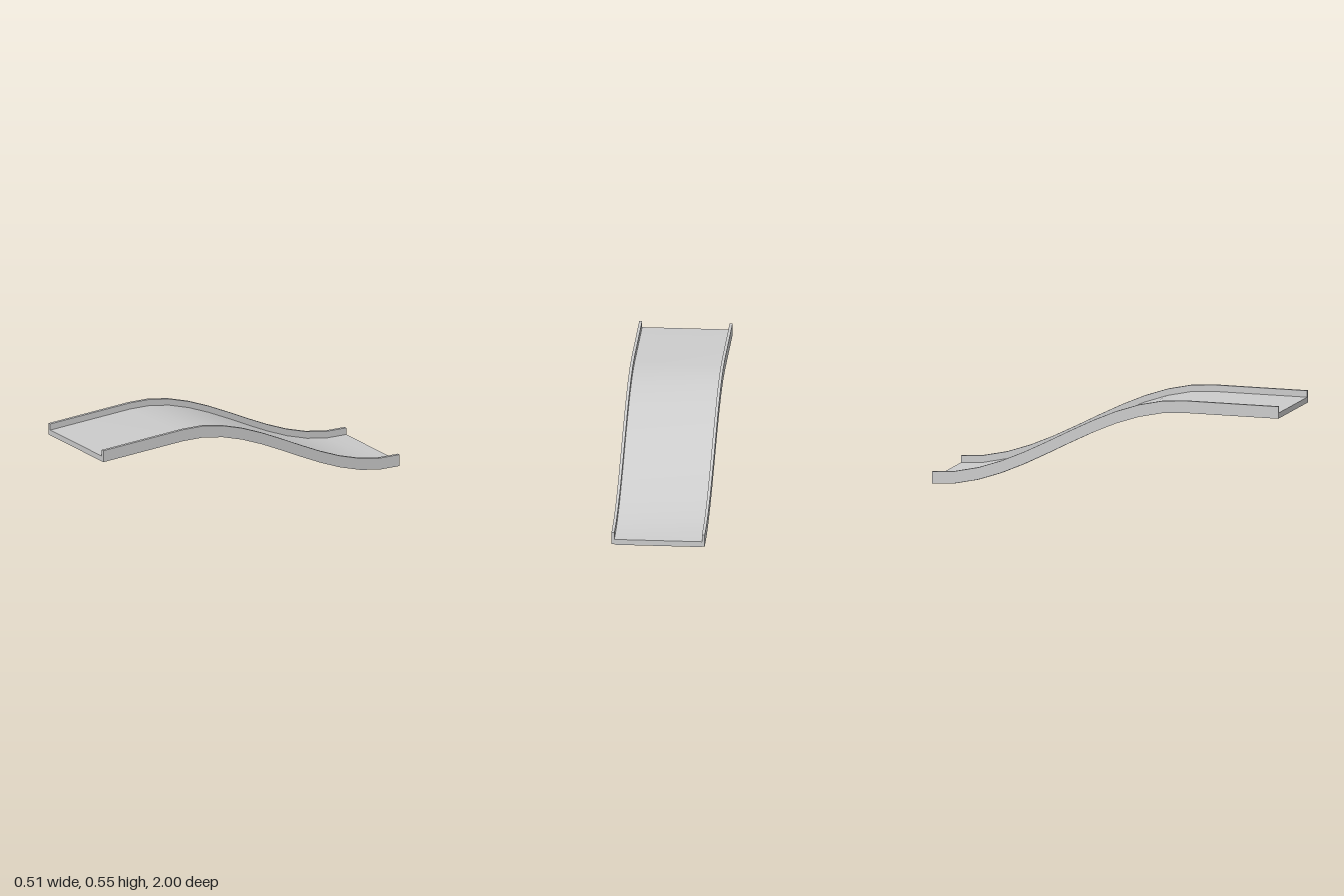
import * as THREE from 'three';
import { toCreasedNormals } from 'three/addons/utils/BufferGeometryUtils.js';

const CURVE_START = 0.46; // z where the flat upper run ends
const STEPS = 11;

// Side profile: flat run, then a cosine S-curve down to the low end
function strip(topY, endY, height, x0, width, material, name) {
  const line = [[1, topY]];
  for (let i = 0; i <= STEPS; i++) {
    const t = i / STEPS;
    const z = CURVE_START + (-1 - CURVE_START) * t;
    line.push([z, topY - (topY - endY) * (1 - Math.cos(Math.PI * t)) / 2]);
  }
  const lower = line.map(([z, y]) => new THREE.Vector2(-z, y));
  const upper = line.map(([z, y]) => new THREE.Vector2(-z, y + height)).reverse();
  const shape = new THREE.Shape([...lower, ...upper]);
  const geometry = new THREE.ExtrudeGeometry(shape, { depth: width, bevelEnabled: false });
  geometry.rotateY(Math.PI / 2);
  geometry.translate(x0, 0, 0);
  const mesh = new THREE.Mesh(toCreasedNormals(geometry, 0.5), material);
  mesh.name = name;
  return mesh;
}

export function createModel() {
  const group = new THREE.Group();
  group.name = 'slide';
  const material = new THREE.MeshStandardMaterial({ color: 0xcccccc });

  // Sliding surface
  group.add(strip(0.485, 0, 0.031, -0.24, 0.48, material, 'slideBed'));

  // Raised rails along both edges
  group.add(strip(0.485, 0.003, 0.067, 0.24, 0.016, material, 'leftRail'));
  group.add(strip(0.485, 0.003, 0.067, -0.256, 0.016, material, 'rightRail'));

  return group;
}
